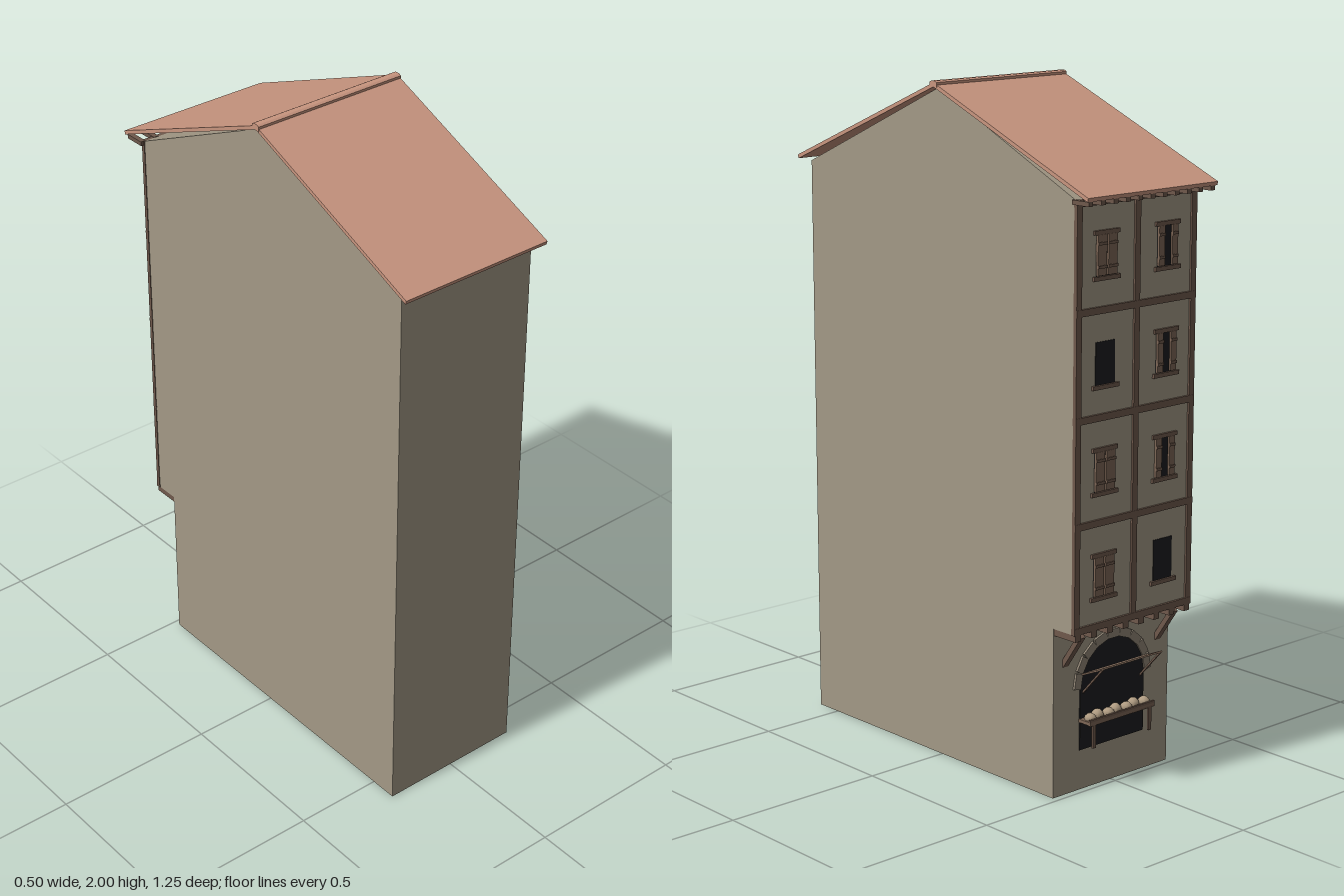
import * as THREE from 'three';

const mat = (name, color) => {
  const m = new THREE.MeshStandardMaterial({ color });
  m.name = name;
  return m;
};

export function createModel() {
  const wall = mat('plaster', 0xa39986);
  const tile = mat('roofTile', 0xc8957f);
  const timber = mat('timber', 0x6f594c);
  const shutterWood = mat('shutterWood', 0x7d6655);
  const dark = mat('darkOpening', 0x1d1d1f);
  const stone = mat('archStone', 0x8f8474);
  const goodsMat = mat('goods', 0xb09c82);

  const house = new THREE.Group();
  house.name = 'townHouse';

  const add = (parent, name, geo, material, x = 0, y = 0, z = 0) => {
    const m = new THREE.Mesh(geo, material);
    m.name = name;
    m.position.set(x, y, z);
    parent.add(m);
    return m;
  };
  const box = (parent, name, material, w, h, d, x, y, z) =>
    add(parent, name, new THREE.BoxGeometry(w, h, d), material, x, y, z);
  const group = (name) => {
    const g = new THREE.Group();
    g.name = name;
    house.add(g);
    return g;
  };
  // Extrudes a (z, y) side profile across x
  const prism = (points, halfWidth) => {
    const shape = new THREE.Shape(points.map(([z, y]) => new THREE.Vector2(z, y)));
    const geo = new THREE.ExtrudeGeometry(shape, { depth: halfWidth * 2, bevelEnabled: false });
    return geo.rotateY(-Math.PI / 2).translate(halfWidth, 0, 0);
  };
  // Square bar between two (z, y) points at a given x
  const bar = (parent, name, material, x, z1, y1, z2, y2, w, t) => {
    const m = box(parent, name, material, w, t, Math.hypot(z2 - z1, y2 - y1), x, (y1 + y2) / 2, (z1 + z2) / 2);
    m.rotation.x = -Math.atan2(y2 - y1, z2 - z1);
    return m;
  };

  // Body: gabled block whose upper floors jut out over the shop
  const low = -0.48, face = -0.56;
  add(house, 'body', prism([
    [0.585, 0], [0.585, 1.72], [0, 1.98], [face, 1.72], [face, 0.505], [low, 0.505], [low, 0],
  ], 0.23), wall);

  // Roof: two thin slopes and a ridge cap
  const roof = group('roof');
  for (const s of [1, -1]) {
    add(roof, 'roofSlope', prism([
      [0, 1.983], [s * 0.623, 1.724], [s * 0.626, 1.735], [0, 1.995],
    ], 0.25), tile);
  }
  add(roof, 'ridgeCap', prism([
    [-0.015, 1.982], [0.015, 1.982], [0.015, 1.996], [0.008, 2], [-0.008, 2], [-0.015, 1.996],
  ], 0.251), tile);

  // Rafter ends beneath the eaves
  for (let i = 0; i < 11; i++) {
    box(roof, 'rafterEnd', timber, 0.016, 0.013, 0.065, -0.235 + i * 0.047, 1.717, -0.588);
  }

  // Timber frame: posts and floor rails
  const frame = group('timberFrame');
  for (const x of [-0.222, 0, 0.222]) {
    box(frame, 'post', timber, 0.02, 1.21, 0.012, x, 1.115, face);
  }
  for (let i = 0; i < 5; i++) {
    box(frame, 'floorRail', timber, 0.464, 0.02, 0.014, 0, 0.514 + i * 0.2995, face);
  }

  // Joists and braces carrying the overhang
  for (let i = 0; i < 8; i++) {
    box(frame, 'joist', timber, 0.022, 0.022, 0.088, -0.217 + i * 0.062, 0.496, -0.522);
  }
  for (const x of [-0.185, 0.185]) {
    bar(frame, 'brace', timber, x, low + 0.004, 0.388, -0.546, 0.49, 0.02, 0.015);
  }

  // Windows: 's' shuttered, 'a' shutters ajar, 'o' open
  const rows = [['s', 'o'], ['s', 'a'], ['o', 'a'], ['s', 'a']];
  rows.forEach((row, r) => row.forEach((kind, c) => {
    const win = group('window');
    win.position.set(c ? -0.118 : 0.118, 0.658 + r * 0.302, face);
    box(win, 'opening', dark, 0.074, 0.125, 0.004, 0, 0, 0);
    box(win, 'sill', timber, 0.1, 0.012, 0.016, 0, -0.064, 0);
    if (kind === 'o') return;
    box(win, 'lintel', timber, 0.096, 0.012, 0.014, 0, 0.062, 0);
    const w = kind === 's' ? 0.034 : 0.022;
    for (const s of [-1, 1]) {
      const x = s * (0.037 - w / 2);
      box(win, 'shutter', shutterWood, w, 0.112, 0.008, x, 0, -0.004);
      for (const y of [-0.032, 0.032]) {
        box(win, 'shutterStrap', timber, w, 0.008, 0.004, x, y, -0.009);
      }
    }
  }));

  // Shop front: dark arched opening with a stone surround
  const shop = group('shopFront');
  const spring = 0.305, r = 0.128;
  const arch = new THREE.Shape();
  arch.moveTo(-r, 0.12);
  arch.lineTo(r, 0.12);
  arch.lineTo(r, spring);
  arch.absarc(0, spring, r, 0, Math.PI, false);
  arch.closePath();
  const archGeo = new THREE.ExtrudeGeometry(arch, { depth: 0.004, bevelEnabled: false, curveSegments: 10 });
  add(shop, 'archOpening', archGeo, dark, 0, 0, low - 0.003);
  for (let i = 0; i < 9; i++) {
    const a = (i + 0.5) * Math.PI / 9;
    const v = box(shop, 'archStone', stone, 0.026, 0.047, 0.014,
      Math.cos(a) * (r + 0.011), spring + Math.sin(a) * (r + 0.011), low);
    v.rotation.z = a;
  }

  // Raised flap with its stays
  bar(shop, 'flap', shutterWood, 0, low, 0.345, -0.56, 0.38, 0.25, 0.005);
  for (const x of [-0.115, 0.115]) {
    bar(shop, 'flapStay', timber, x, low, 0.29, -0.56, 0.378, 0.006, 0.005);
  }

  // Counter with legs and heaped goods
  box(shop, 'counter', shutterWood, 0.26, 0.01, 0.05, 0, 0.21, -0.503);
  box(shop, 'counterEdge', timber, 0.26, 0.018, 0.006, 0, 0.213, -0.525);
  for (const x of [-0.112, 0.112]) {
    box(shop, 'counterLeg', timber, 0.012, 0.08, 0.006, x, 0.175, -0.524);
  }
  for (let i = 0; i < 7; i++) {
    const g = add(shop, 'goods', new THREE.SphereGeometry(0.018, 8, 6), goodsMat,
      -0.108 + i * 0.036, 0.219, -0.502 + (i % 2 ? 0.005 : -0.003));
    g.scale.y = i % 2 ? 1 : 0.85;
  }

  return house;
}
